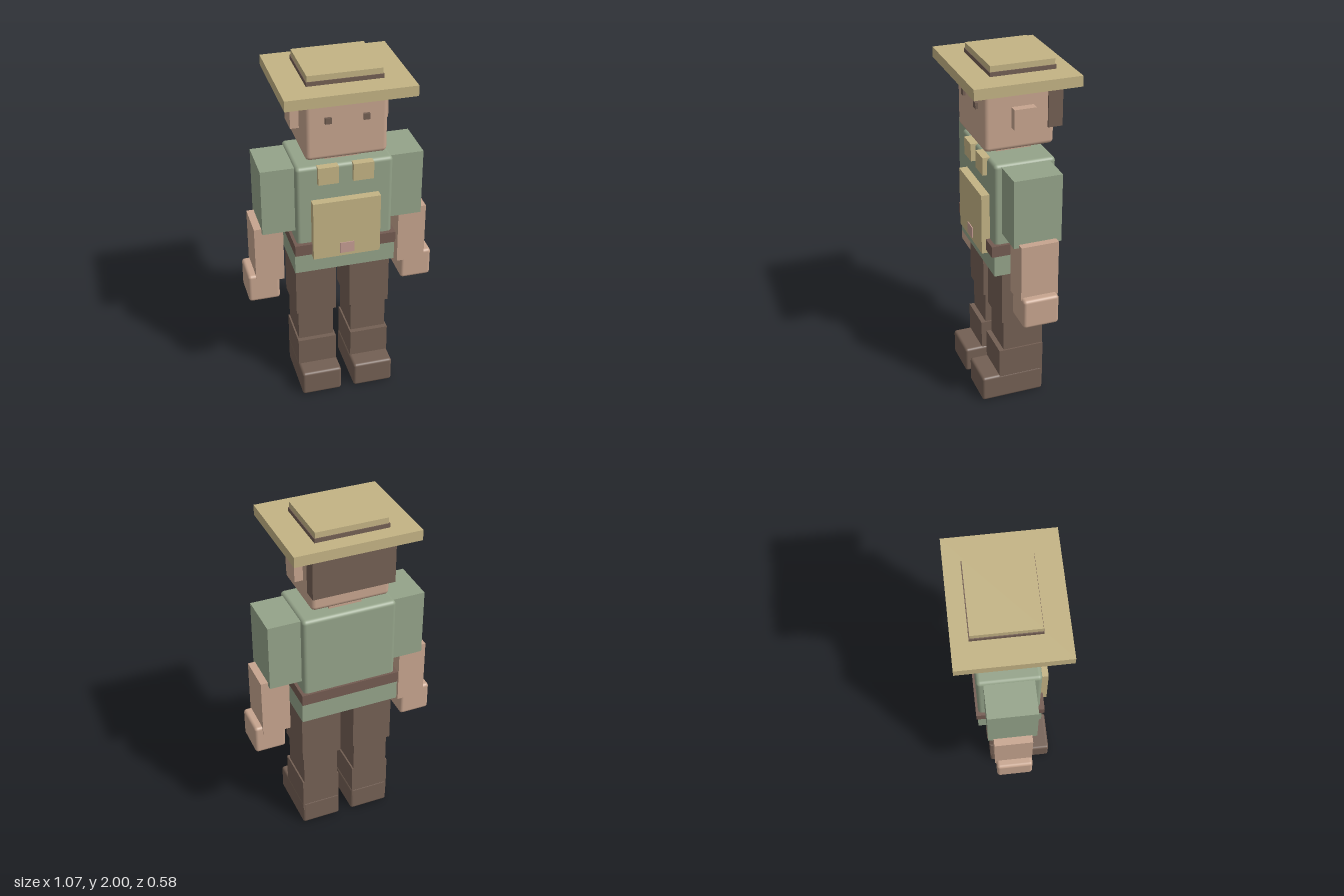
import * as THREE from 'three';
import { RoundedBoxGeometry } from 'three/addons/geometries/RoundedBoxGeometry.js';

const material = (name, color) => {
  const m = new THREE.MeshStandardMaterial({ color });
  m.name = name;
  return m;
};

export function createModel() {
  const skin = material('skin', 0xc6a48e);
  const shirt = material('shirt green', 0x94a389);
  const straw = material('straw', 0xc3b384);
  const brown = material('dark brown', 0x735f53);
  const leather = material('belt leather', 0x735b51);
  const buckleTone = material('buckle', 0xc49d92);

  const model = new THREE.Group();
  model.name = 'figure';

  // Box given by its [min, max] extents; a radius rounds its edges
  function block(parent, name, mat, [x0, x1], [y0, y1], [z0, z1], radius = 0) {
    const size = [x1 - x0, y1 - y0, z1 - z0];
    const geometry = radius
      ? new RoundedBoxGeometry(...size, 3, radius)
      : new THREE.BoxGeometry(...size);
    const mesh = new THREE.Mesh(geometry, mat);
    mesh.name = name;
    mesh.position.set((x0 + x1) / 2, (y0 + y1) / 2, (z0 + z1) / 2);
    parent.add(mesh);
  }
  const group = (name) => {
    const g = new THREE.Group();
    g.name = name;
    model.add(g);
    return g;
  };

  // Head and hair
  const head = group('head');
  block(head, 'face', skin, [-0.22, 0.22], [1.537, 1.93], [-0.193, 0.193], 0.025);
  block(head, 'hair', brown, [-0.23, 0.23], [1.637, 1.89], [-0.235, -0.155]);
  block(head, 'neck', skin, [-0.093, 0.093], [1.45, 1.56], [-0.115, 0.085]);

  // Flat-topped hat
  const hat = group('hat');
  block(hat, 'brim', straw, [-0.347, 0.347], [1.887, 1.945], [-0.292, 0.29]);
  block(hat, 'hatBand', brown, [-0.205, 0.205], [1.94, 1.968], [-0.203, 0.157]);
  block(hat, 'crown', straw, [-0.2, 0.2], [1.967, 2], [-0.198, 0.153]);

  // Torso, apron and belt
  const torso = group('torso');
  block(torso, 'chest', shirt, [-0.268, 0.268], [0.95, 1.48], [-0.187, 0.157], 0.022);
  block(torso, 'shirtHem', shirt, [-0.284, 0.284], [0.83, 0.955], [-0.192, 0.165]);
  block(torso, 'belt', leather, [-0.285, 0.285], [0.95, 1.015], [-0.2, 0.18]);
  block(torso, 'bib', straw, [-0.188, 0.188], [0.93, 1.28], [0.15, 0.204]);
  block(torso, 'buckle', buckleTone, [-0.04, 0.04], [0.95, 1.015], [0.2, 0.209]);

  // Paired parts, mirrored across the centre
  for (const side of [1, -1]) {
    const label = side > 0 ? 'left' : 'right';
    const span = (a, b) => (side > 0 ? [a, b] : [-b, -a]);

    block(head, label + 'Eye', brown, span(0.085, 0.119), [1.747, 1.781], [0.185, 0.207]);
    block(head, label + 'Ear', skin, span(0.2, 0.267), [1.663, 1.775], [-0.075, 0.047]);
    block(torso, label + 'Strap', straw, span(0.04, 0.153), [1.38, 1.481], [0.14, 0.183]);

    const arm = group(label + 'Arm');
    block(arm, 'sleeve', shirt, span(0.26, 0.45), [1.08, 1.467], [-0.15, 0.117]);
    block(arm, 'forearm', skin, span(0.33, 0.491), [0.752, 1.1], [-0.12, 0.09]);
    block(arm, 'hand', skin, span(0.357, 0.535), [0.625, 0.797], [-0.112, 0.09], 0.018);

    const leg = group(label + 'Leg');
    block(leg, 'thigh', brown, span(0.04, 0.272), [0.512, 0.86], [-0.147, 0.119]);
    block(leg, 'shin', brown, span(0.053, 0.259), [0.3, 0.515], [-0.13, 0.104]);
    block(leg, 'bootShaft', brown, span(0.044, 0.268), [0.1, 0.32], [-0.13, 0.132]);
    block(leg, 'foot', brown, span(0.038, 0.27), [0, 0.153], [-0.132, 0.235], 0.016);
  }

  return model;
}
